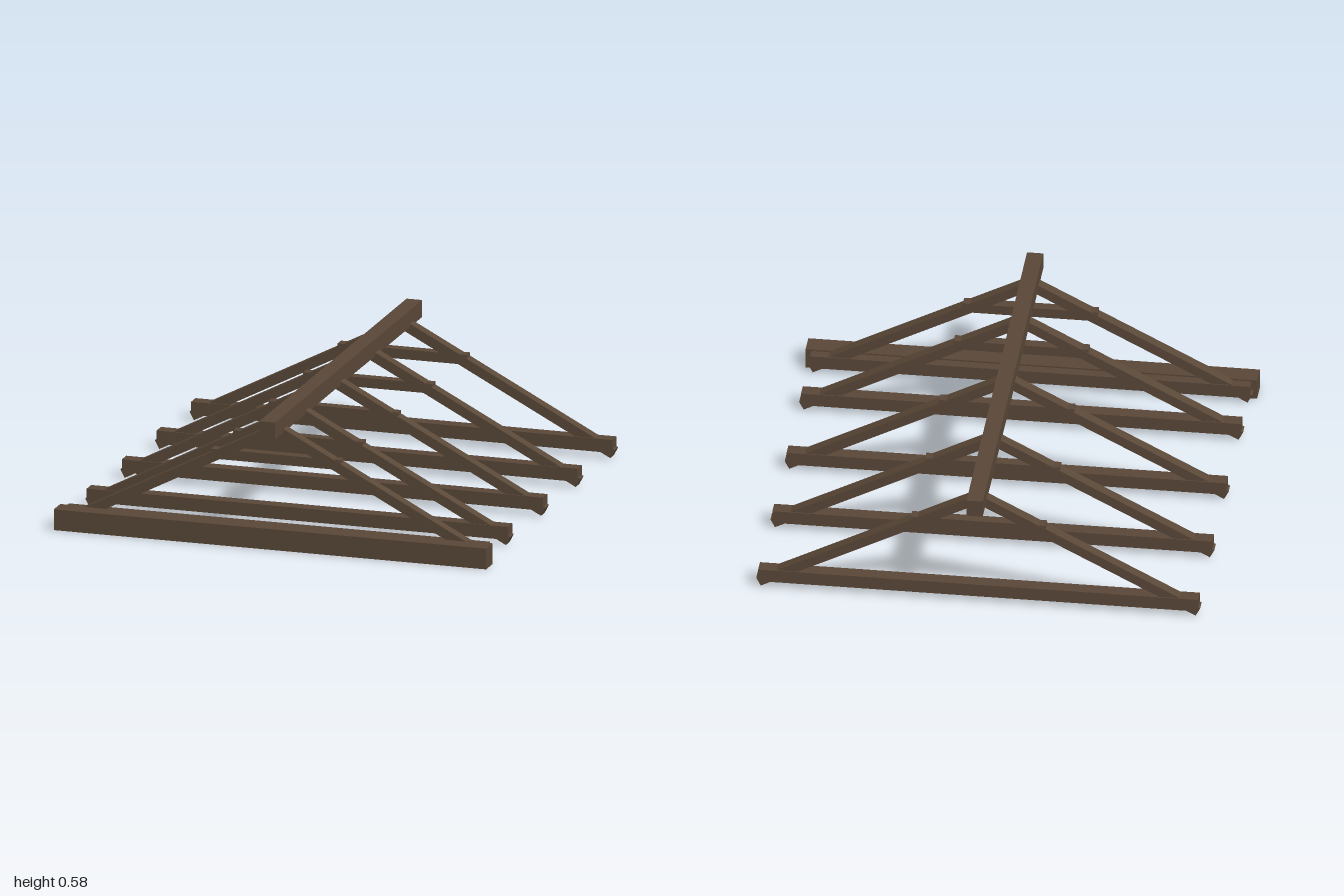
import * as THREE from 'three';

export function createModel() {
  const group = new THREE.Group();
  const wood = new THREE.MeshStandardMaterial({ color: 0x5a4838 });
  wood.name = 'dark wood';

  const beam = (name, parent, w, h, d, x, y, z, tilt = 0) => {
    const mesh = new THREE.Mesh(new THREE.BoxGeometry(w, h, d), wood);
    mesh.name = name;
    mesh.position.set(x, y, z);
    mesh.rotation.z = tilt;
    parent.add(mesh);
  };

  // Long ridge beam and the heavy sill across the front
  beam('ridgeBeam', group, 0.07, 0.075, 2, 0, 0.5395, 0);
  beam('frontSill', group, 1.94, 0.092, 0.088, 0, 0.046, 0.918);

  // Rafter centre line, from under the ridge to the eaves
  const top = new THREE.Vector2(0, 0.512);
  const foot = new THREE.Vector2(0.944, 0.021);
  const length = top.distanceTo(foot);
  const slope = Math.atan2(foot.y - top.y, foot.x - top.x);

  // Five A-shaped trusses
  for (const z of [0.86, 0.56, 0.083, -0.387, -0.857]) {
    const truss = new THREE.Group();
    truss.name = 'truss';
    truss.position.z = z;
    group.add(truss);
    beam('tieBeam', truss, 1.89, 0.058, 0.06, 0, 0.056, 0);
    beam('collarBeam', truss, 0.58, 0.043, 0.046, 0, 0.379, 0);
    for (const side of [1, -1]) {
      beam(side > 0 ? 'leftRafter' : 'rightRafter', truss, length, 0.042, 0.05,
        side * (top.x + foot.x) / 2, (top.y + foot.y) / 2, 0, side * slope);
    }
  }
  return group;
}
